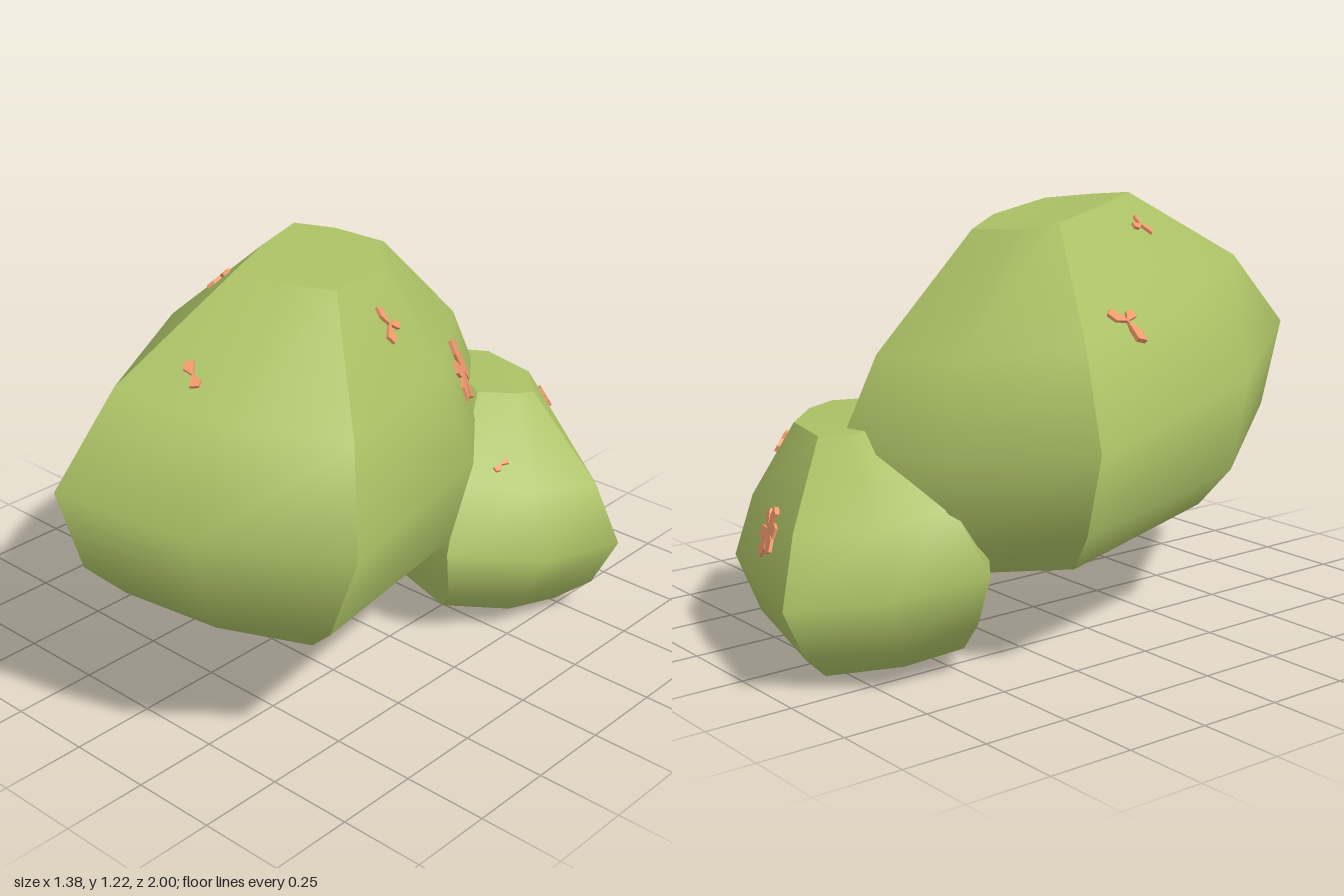
import * as THREE from 'three';
import { mergeGeometries } from 'three/addons/utils/BufferGeometryUtils.js';

// Rings from top to bottom; eight points each, the even ones are sharp corners.
const BIG = [
  [0.02, 1.22, 0.38, 0.16, 1.205, 0.35, 0.27, 1.19, 0.26, 0.19, 1.165, 0, 0.04, 1.15, -0.19, -0.12, 1.16, -0.16, -0.2, 1.18, -0.07, -0.1, 1.2, 0.16],
  [-0.02, 1.0, 0.79, 0.3, 0.97, 0.72, 0.56, 0.93, 0.51, 0.38, 0.88, -0.06, 0.03, 0.83, -0.53, -0.29, 0.85, -0.5, -0.53, 0.9, -0.25, -0.35, 0.96, 0.28],
  [-0.03, 0.77, 1.0, 0.38, 0.74, 0.91, 0.69, 0.69, 0.64, 0.48, 0.63, -0.08, 0.02, 0.58, -0.67, -0.39, 0.62, -0.6, -0.69, 0.65, -0.33, -0.48, 0.72, 0.4],
  [-0.04, 0.51, 0.91, 0.36, 0.48, 0.83, 0.57, 0.42, 0.61, 0.42, 0.37, -0.06, 0.02, 0.34, -0.61, -0.33, 0.36, -0.55, -0.61, 0.41, -0.31, -0.46, 0.46, 0.36],
  [-0.04, 0.37, 0.77, 0.24, 0.345, 0.7, 0.45, 0.31, 0.55, 0.31, 0.26, -0.04, 0.04, 0.237, -0.48, -0.24, 0.253, -0.46, -0.5, 0.29, -0.26, -0.36, 0.34, 0.33],
];
const SMALL = [
  [0.23, 0.66, -0.41, 0.31, 0.65, -0.5, 0.32, 0.635, -0.57, 0.21, 0.63, -0.69, 0.02, 0.63, -0.73, -0.04, 0.635, -0.68, -0.06, 0.645, -0.62, 0.08, 0.655, -0.5],
  [0.36, 0.5, -0.17, 0.52, 0.46, -0.33, 0.58, 0.42, -0.55, 0.26, 0.43, -0.8, -0.15, 0.43, -0.92, -0.31, 0.45, -0.76, -0.35, 0.48, -0.55, 0.02, 0.5, -0.27],
  [0.42, 0.32, -0.05, 0.62, 0.29, -0.26, 0.68, 0.26, -0.54, 0.28, 0.26, -0.85, -0.22, 0.25, -1.0, -0.41, 0.28, -0.8, -0.47, 0.31, -0.52, 0, 0.33, -0.18],
  [0.39, 0.16, -0.1, 0.53, 0.13, -0.28, 0.6, 0.1, -0.53, 0.25, 0.09, -0.79, -0.18, 0.09, -0.91, -0.36, 0.12, -0.73, -0.4, 0.16, -0.51, -0.01, 0.16, -0.21],
  [0.32, 0.065, -0.16, 0.45, 0.035, -0.32, 0.49, 0.01, -0.5, 0.22, 0, -0.72, -0.13, 0.01, -0.82, -0.27, 0.04, -0.66, -0.31, 0.065, -0.49, 0, 0.075, -0.25],
];

const point = (ring, i) => ring.slice((i % 8) * 3, (i % 8) * 3 + 3);

function surface(positions, index) {
  const g = new THREE.BufferGeometry();
  g.setAttribute('position', new THREE.Float32BufferAttribute(positions.flat(), 3));
  g.setIndex(index);
  g.computeVertexNormals();
  return g;
}

// Flat cap across one ring
function cap(ring, up) {
  const pts = Array.from({ length: 8 }, (_, i) => point(ring, i));
  const centre = [0, 1, 2].map((k) => pts.reduce((s, p) => s + p[k], 0) / 8);
  const index = [];
  for (let i = 0; i < 8; i++) {
    const n = (i + 1) % 8;
    index.push(8, ...(up ? [i, n] : [n, i]));
  }
  return surface([...pts, centre], index);
}

// Four smooth sides meeting at creased corners, closed by two caps
function rockGeometry(rings) {
  const parts = [cap(rings[0], true), cap(rings[rings.length - 1], false)];
  for (let side = 0; side < 4; side++) {
    const pts = [], index = [];
    rings.forEach((ring, r) => {
      for (let c = 0; c < 3; c++) pts.push(point(ring, side * 2 + c));
      if (r === 0) return;
      for (let c = 0; c < 2; c++) {
        const a = (r - 1) * 3 + c, b = a + 1, d = r * 3 + c;
        index.push(a, d, b, b, d, d + 1);
      }
    });
    parts.push(surface(pts, index));
  }
  return mergeGeometries(parts);
}

// Thin jagged chips spread around a centre, lying in the XY plane
function flakeGeometry(size, count, turn, seed) {
  const rand = () => (seed = (seed * 16807) % 2147483647) / 2147483647;
  const chips = [];
  for (let i = 0; i < count; i++) {
    const len = size * (0.8 + 0.4 * rand()), w = size * (0.22 + 0.15 * rand());
    const shape = new THREE.Shape([
      new THREE.Vector2(-0.1 * len, 0), new THREE.Vector2(len * 0.8, -w),
      new THREE.Vector2(len, w * 0.2), new THREE.Vector2(len * 0.6, w * 0.8),
    ]);
    const g = new THREE.ExtrudeGeometry(shape, { depth: 0.014, bevelEnabled: false });
    g.rotateZ(turn + (i / count) * Math.PI * 2 + (rand() - 0.5) * 0.4);
    g.translate(0, 0, -0.005);
    chips.push(g);
  }
  return mergeGeometries(chips);
}

export function createModel() {
  const model = new THREE.Group();
  const green = new THREE.MeshStandardMaterial({ color: 0xabc165 });
  const rust = new THREE.MeshStandardMaterial({ color: 0xf09a6c });

  const bigRock = new THREE.Mesh(rockGeometry(BIG), green);
  bigRock.name = 'bigRock';
  const smallRock = new THREE.Mesh(rockGeometry(SMALL), green);
  smallRock.name = 'smallRock';
  model.add(bigRock, smallRock);

  // Rust flakes dropped onto the rocks: x, z, size, chips, turn
  const flakes = [
    [bigRock, -0.45, -0.04, 0.07, 3, 0.6],
    [bigRock, -0.12, 0.3, 0.05, 3, 1.2],
    [bigRock, 0.31, 0.1, 0.065, 3, -0.3],
    [bigRock, 0.14, 0.66, 0.055, 2, -0.8],
    [bigRock, 0.22, -0.33, 0.1, 7, 0.2],
    [smallRock, 0.03, -0.88, 0.075, 6, 0.4],
    [smallRock, 0.28, -0.68, 0.05, 3, 0.8],
    [smallRock, 0.41, -0.3, 0.035, 2, 0.6],
  ];
  const down = new THREE.Vector3(0, -1, 0);
  flakes.forEach(([rock, x, z, size, count, turn], i) => {
    const ray = new THREE.Raycaster(new THREE.Vector3(x, 3, z), down);
    const hit = ray.intersectObject(rock)[0];
    const flake = new THREE.Mesh(flakeGeometry(size, count, turn, 101 + i * 37), rust);
    flake.name = 'rustFlake' + (i + 1);
    flake.position.copy(hit.point);
    flake.lookAt(hit.point.clone().add(hit.face.normal));
    model.add(flake);
  });
  return model;
}
